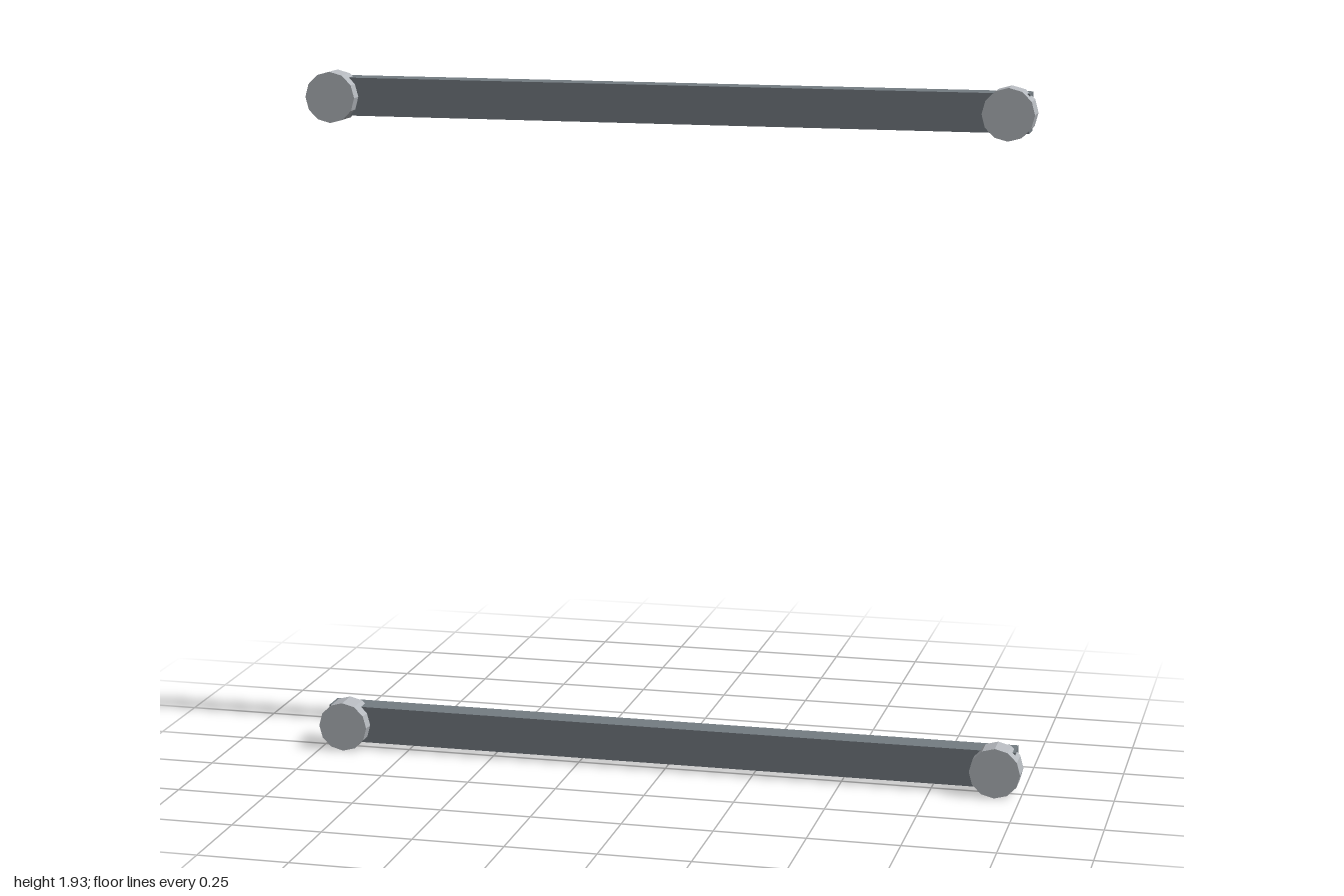
import * as THREE from 'three';

export function createModel() {
  const model = new THREE.Group();
  const darkGrey = new THREE.MeshStandardMaterial({ color: 0x747c82 });
  darkGrey.name = 'darkGrey';
  const lightGrey = new THREE.MeshStandardMaterial({ color: 0xb5b9be });
  lightGrey.name = 'lightGrey';

  // Shared shapes: a square-edged bar and a faceted disc facing the front
  const barGeometry = new THREE.BoxGeometry(1.962, 0.104, 0.071);
  const capGeometry = new THREE.CylinderGeometry(0.07, 0.07, 0.071, 12)
    .rotateX(Math.PI / 2).toNonIndexed();
  capGeometry.computeVertexNormals();

  // One rail: bar with a round cap set into the front of each end
  function addRail(name, y) {
    const rail = new THREE.Group();
    rail.name = name;
    rail.position.y = y;
    const bar = new THREE.Mesh(barGeometry, darkGrey);
    bar.name = 'bar';
    bar.position.z = -0.018;
    rail.add(bar);
    for (const side of [-1, 1]) {
      const cap = new THREE.Mesh(capGeometry, lightGrey);
      cap.name = side > 0 ? 'leftCap' : 'rightCap';
      cap.position.set(side * 0.93, 0, 0.018);
      rail.add(cap);
    }
    model.add(rail);
  }

  addRail('lowerRail', 0.07);
  addRail('upperRail', 1.858);
  return model;
}
